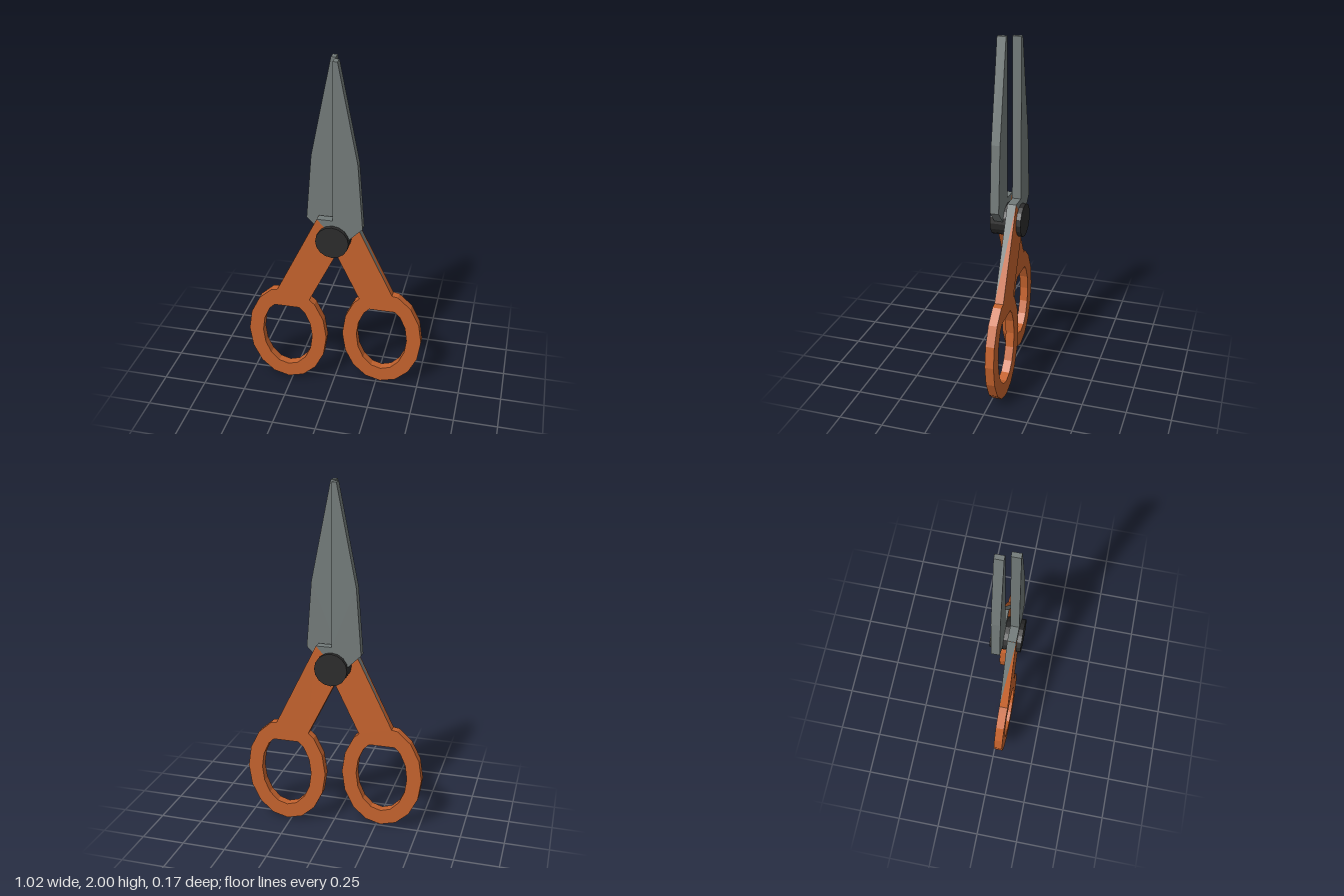
import * as THREE from 'three';

const Z_IN = 0.013, Z_OUT = 0.0625; // inner and outer faces of one half

const mat = (name, color, side = THREE.FrontSide) =>
  Object.assign(new THREE.MeshStandardMaterial({ color, flatShading: true, side }), { name });

// A flat plate cut from an outline, with optional holes
function plate(name, points, material, holes = []) {
  const toVec = ([x, y]) => new THREE.Vector2(x, y);
  const shape = new THREE.Shape(points.map(toVec));
  for (const h of holes) shape.holes.push(new THREE.Path(h.map(toVec)));
  const geo = new THREE.ExtrudeGeometry(shape, { depth: Z_OUT - Z_IN, bevelEnabled: false });
  geo.translate(0, 0, Z_IN);
  const mesh = new THREE.Mesh(geo, material);
  mesh.name = name;
  return mesh;
}

// Points of a 16-sided oval, from step "from" to step "to"
function oval(rx, ry, from, to) {
  const pts = [];
  for (let i = from; i <= to; i++) {
    const a = (i / 16) * Math.PI * 2;
    pts.push([-0.275 + rx * Math.cos(a), 0.315 + ry * Math.sin(a)]);
  }
  return pts;
}

// One half: blade on +x, handle and finger ring on -x
function createHalf(name, steel, orange) {
  const half = new THREE.Group();
  half.name = name;
  const shoulder = [-0.09, 1.1], heel = [0.048, 0.948], outerJoint = [-0.33, 0.612];

  half.add(plate('blade', [
    [0, 2], [0, 1.1], shoulder, heel, [0.167, 1.066], [0.137, 1.445], [0.026, 2],
  ], steel));

  // Finger hole with a flat top where the handle bar meets it
  const hole = [
    ...oval(0.15, 0.225, -6, 2), [-0.2, 0.505], [-0.35, 0.505],
    ...oval(0.15, 0.225, 6, 9),
  ];
  // Ring outline runs clockwise from the outer joint to the inner joint
  const ring = oval(0.235, 0.315, 5, 18).reverse();
  half.add(plate('handle', [
    heel, shoulder, outerJoint, ...ring.reverse(), [-0.14, 0.565],
  ], orange, [hole]));

  // Steel wedge on the outer edge of the handle
  const o = [-0.001, 0.0005];
  const corner = ([x, y], z) => [x + o[0], y + o[1], z];
  const wedgeGeo = new THREE.BufferGeometry();
  wedgeGeo.setAttribute('position', new THREE.Float32BufferAttribute([
    ...corner(shoulder, Z_IN), ...corner(outerJoint, Z_IN), ...corner(shoulder, Z_OUT),
  ], 3));
  wedgeGeo.computeVertexNormals();
  const wedge = new THREE.Mesh(wedgeGeo, steel);
  wedge.name = 'handleEdgeWedge';
  half.add(wedge);
  return half;
}

export function createModel() {
  const steel = mat('steel grey', 0x727a79);
  const orange = mat('handle orange', 0xc4622d);
  const dark = mat('pivot black', 0x2b2b2b);

  const model = new THREE.Group();
  model.name = 'scissors';

  // The back half is the front half turned around the upright axis
  const front = createHalf('frontHalf', steel, orange);
  const back = createHalf('backHalf', steel, orange);
  back.rotation.y = Math.PI;
  model.add(front, back);

  // Pivot pin through both halves
  const pivot = new THREE.Mesh(new THREE.CylinderGeometry(0.094, 0.094, 0.175, 16), dark);
  pivot.name = 'pivot';
  pivot.rotation.x = Math.PI / 2;
  pivot.position.y = 0.975;
  model.add(pivot);
  return model;
}
